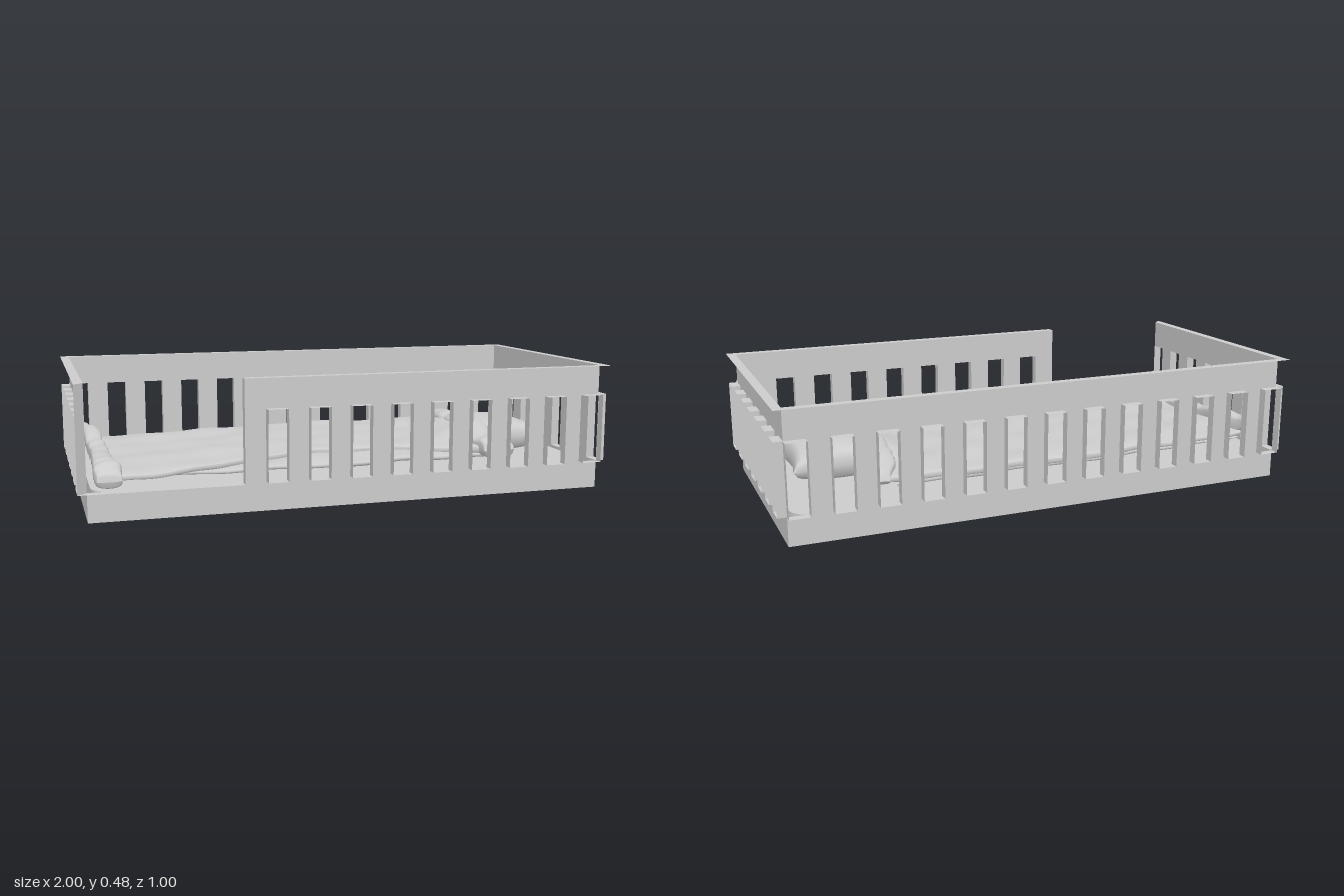
import * as THREE from 'three';
import { mergeGeometries, mergeVertices } from 'three/addons/utils/BufferGeometryUtils.js';

const material = new THREE.MeshStandardMaterial({ color: 0xcccccc, side: THREE.DoubleSide });
const HX = 0.967, HZ = 0.455, CZ = -0.015;   // half length, half width, middle of the frame in z
const LOW = 0.105, SILL = 0.365, TOP = 0.477, LIP = 0.033;

function mesh(name, geometry) {
  const m = new THREE.Mesh(geometry, material);
  m.name = name;
  return m;
}

// Flat four-cornered face
function quad(a, b, c, d) {
  const g = new THREE.BufferGeometry();
  g.setAttribute('position', new THREE.Float32BufferAttribute([a, b, c, a, c, d].flat(), 3));
  g.computeVertexNormals();
  return g;
}
const panel = (u0, u1, y0, y1) => quad([u0, y0, 0], [u1, y0, 0], [u1, y1, 0], [u0, y1, 0]);
// Lips stand out from the panel by LIP, upright or level (m, m0, m1 mitre the corners)
const uprightLip = (u, y0, y1, m = 0) => quad([u, y0, 0], [u, y1, 0], [u + m, y1, LIP], [u + m, y0, LIP]);
const levelLip = (y, u0, u1, m0 = 0, m1 = 0) =>
  quad([u0, y, 0], [u0 - m0, y, LIP], [u1 + m1, y, LIP], [u1, y, 0]);

// A thin wall in its own frame (outside faces +z), with framed windows between slats
function wall(name, half, count, pitch, width, start = -half) {
  const entrance = start > -half;
  const parts = [panel(-half, half, 0, LOW), panel(start, half, SILL, TOP),
    levelLip(TOP, start, half, entrance ? 0 : LIP, LIP)];
  let edge = start;
  for (let i = 0; i < count; i++) {
    const u = (i - (count - 1) / 2) * pitch, a = u - width / 2, b = u + width / 2;
    if (a < start - 0.01) continue;
    if (a - edge > 0.01) parts.push(panel(edge, a, LOW, SILL));
    parts.push(uprightLip(a, LOW, SILL), uprightLip(b, LOW, SILL), levelLip(LOW, a, b), levelLip(SILL, a, b));
    edge = b;
  }
  // Lowered entrance, bounded by upright lips on both sides
  if (entrance) {
    parts.push(uprightLip(start, LOW, TOP), uprightLip(-half, LOW, TOP, -LIP), levelLip(LOW, -half, start, LIP, 0));
  }
  return mesh(name, mergeGeometries(parts));
}

// Mattress: rounded top with a skirt, open underneath
function mattress() {
  const x = 0.95, z0 = -0.465, z1 = 0.43, r = 0.1, y = 0.1;
  const s = new THREE.Shape();
  s.moveTo(-x + r, -z1).lineTo(x - r, -z1).quadraticCurveTo(x, -z1, x, -z1 + r)
    .lineTo(x, -z0 - r).quadraticCurveTo(x, -z0, x - r, -z0)
    .lineTo(-x + r, -z0).quadraticCurveTo(-x, -z0, -x, -z0 - r)
    .lineTo(-x, -z1 + r).quadraticCurveTo(-x, -z1, -x + r, -z1);
  const top = new THREE.ShapeGeometry(s, 10).toNonIndexed().rotateX(-Math.PI / 2).translate(0, y, 0);
  top.deleteAttribute('uv');
  const parts = [top], pts = s.getPoints(10);
  pts.forEach((q, i) => {
    const n = pts[(i + 1) % pts.length];
    if (q.distanceTo(n) < 1e-5) return;
    parts.push(quad([q.x, 0.02, -q.y], [n.x, 0.02, -n.y], [n.x, y, -n.y], [q.x, y, -q.y]));
  });
  return mesh('mattress', mergeGeometries(parts));
}

// Closed grid: point(u, v) with v running round the section
function grid(nu, nv, point) {
  const pos = [], index = [];
  for (let i = 0; i <= nu; i++) {
    for (let j = 0; j < nv; j++) {
      pos.push(...point(i / nu, j / nv));
      if (i === nu) continue;
      const k = (j + 1) % nv, a = i * nv;
      index.push(a + j, a + k, a + nv + j, a + k, a + nv + k, a + nv + j);
    }
  }
  const g = new THREE.BufferGeometry();
  g.setAttribute('position', new THREE.Float32BufferAttribute(pos, 3));
  g.setIndex(index);
  g.computeVertexNormals();
  return g;
}

// Soft cloth from stations [along, low edge, high edge, underside, top]
function cloth(name, stations, alongX, ripple, nu, nv) {
  return mesh(name, grid(nu, nv, (u, v) => {
    const f = u * (stations.length - 1), i = Math.min(Math.floor(f), stations.length - 2), t = f - i;
    const at = (k, c) => stations[Math.max(0, Math.min(stations.length - 1, k))][c];
    const [s, lo, hi, y0, y1] = [0, 1, 2, 3, 4].map((c) => {
      const p1 = at(i, c), p2 = at(i + 1, c);
      if (c === 0) return THREE.MathUtils.lerp(p1, p2, t);
      const d1 = (p2 - at(i - 1, c)) / 2, d2 = (at(i + 2, c) - p1) / 2;
      return p1 + t * (d1 + t * (3 * (p2 - p1) - 2 * d1 - d2 + t * (2 * (p1 - p2) + d1 + d2)));
    });
    const round = Math.pow(Math.max(0, 1 - Math.pow(Math.abs(2 * u - 1), 24)), 0.5);   // closes the ends
    const a = v * Math.PI * 2, c = Math.cos(a), w = Math.sin(a);
    const y = (y0 + y1) / 2 + (y1 - y0) / 2 * Math.sign(w) * Math.pow(Math.abs(w), 0.4) * round;
    const across = (lo + hi) / 2 + (hi - lo) / 2 * c + 0.4 * ripple(2 * y, 1.6 * s);   // uneven hems
    const x = alongX ? s : across, z = alongX ? across : s;
    return [x, y + ripple(x, z), z];
  }));
}

// Pillow with pinched corners and hollow sides
function pillow() {
  const n = 24, parts = [1, -1].map((side) => {
    const g = new THREE.PlaneGeometry(2, 2, n, n).rotateX(-side * Math.PI / 2);
    const p = g.attributes.position;
    for (let i = 0; i < p.count; i++) {
      const a = p.getX(i), b = p.getZ(i), ea = Math.max(0, 1 - a * a), eb = Math.max(0, 1 - b * b);
      const plump = side > 0 ? 0.07 : -0.076;
      p.setXYZ(i, 0.69 + 0.2 * a * (1 - 0.13 * eb), 0.165 + plump * Math.pow(ea * eb, 0.32),
        0.21 * b * (1 - 0.13 * ea));
    }
    g.deleteAttribute('uv');
    g.deleteAttribute('normal');
    return g;
  });
  const g = mergeVertices(mergeGeometries(parts), 1e-4);
  g.computeVertexNormals();
  return mesh('pillow', g);
}

export function createModel() {
  const model = new THREE.Group();

  // Bed frame
  const front = wall('frontWall', HX, 13, 0.155, 0.075, -0.43);
  front.position.z = CZ + HZ;
  const back = wall('backWall', HX, 13, 0.155, 0.075);
  back.position.z = CZ - HZ;
  back.rotation.y = Math.PI;
  const head = wall('headWall', HZ, 7, 0.14, 0.071);
  head.position.set(HX, 0, CZ);
  head.rotation.y = Math.PI / 2;
  const foot = wall('footWall', HZ, 7, 0.14, 0.071);
  foot.position.set(-HX, 0, CZ);
  foot.rotation.y = -Math.PI / 2;
  model.add(front, back, head, foot, mattress(), pillow());

  // Bedding
  const { smoothstep } = THREE.MathUtils;
  const wrinkle = (x, z) => 0.003 * Math.sin(9 * x + 14 * z + 2 * Math.sin(3 * x))
    + 0.002 * Math.sin(23 * x - 11 * z + 1) + 0.002 * Math.sin(31 * z + 6 * x);
  const crumple = (x, z) => wrinkle(x, z) + 0.004 * Math.sin(38 * z + 25 * x + 2 * Math.sin(17 * z));
  // Rises over the pillow
  const draped = (x, z) => wrinkle(x, z)
    + 0.035 * smoothstep(x, 0.38, 0.56) * (1 - smoothstep(Math.abs(z), 0.12, 0.26));
  model.add(cloth('blanket', [
    [-0.93, -0.35, 0.48, 0.14, 0.17], [-0.82, -0.355, 0.46, 0.135, 0.17], [-0.65, -0.365, 0.41, 0.135, 0.17],
    [-0.4, -0.38, 0.31, 0.135, 0.175], [-0.2, -0.395, 0.25, 0.135, 0.178], [0, -0.4, 0.235, 0.135, 0.178],
    [0.2, -0.4, 0.25, 0.135, 0.178], [0.38, -0.395, 0.32, 0.135, 0.178], [0.6, -0.39, 0.385, 0.13, 0.19],
  ], true, draped, 110, 90));
  // Lower half of the folded blanket, showing under the raised hem
  model.add(cloth('blanketUnderlayer', [
    [-0.9, -0.34, 0.36, 0.125, 0.145], [-0.4, -0.37, 0.375, 0.122, 0.15], [0, -0.385, 0.38, 0.122, 0.155],
    [0.35, -0.385, 0.37, 0.122, 0.155], [0.57, -0.38, 0.36, 0.122, 0.15],
  ], true, wrinkle, 60, 60));
  model.add(cloth('footFold', [
    [-0.365, -0.945, -0.905, 0.16, 0.22], [-0.28, -0.945, -0.88, 0.15, 0.22], [0, -0.93, -0.865, 0.14, 0.2],
    [0.3, -0.935, -0.86, 0.135, 0.198], [0.43, -0.945, -0.85, 0.13, 0.2], [0.5, -0.94, -0.855, 0.13, 0.185],
  ], false, crumple, 80, 28));
  model.add(cloth('headFold', [
    [-0.4, 0.59, 0.67, 0.14, 0.18], [-0.3, 0.54, 0.66, 0.13, 0.215], [-0.15, 0.52, 0.65, 0.13, 0.235],
    [0, 0.52, 0.635, 0.13, 0.235], [0.15, 0.52, 0.63, 0.13, 0.235], [0.3, 0.5, 0.635, 0.13, 0.212],
    [0.4, 0.51, 0.635, 0.12, 0.2],
  ], false, crumple, 80, 36));
  return model;
}
